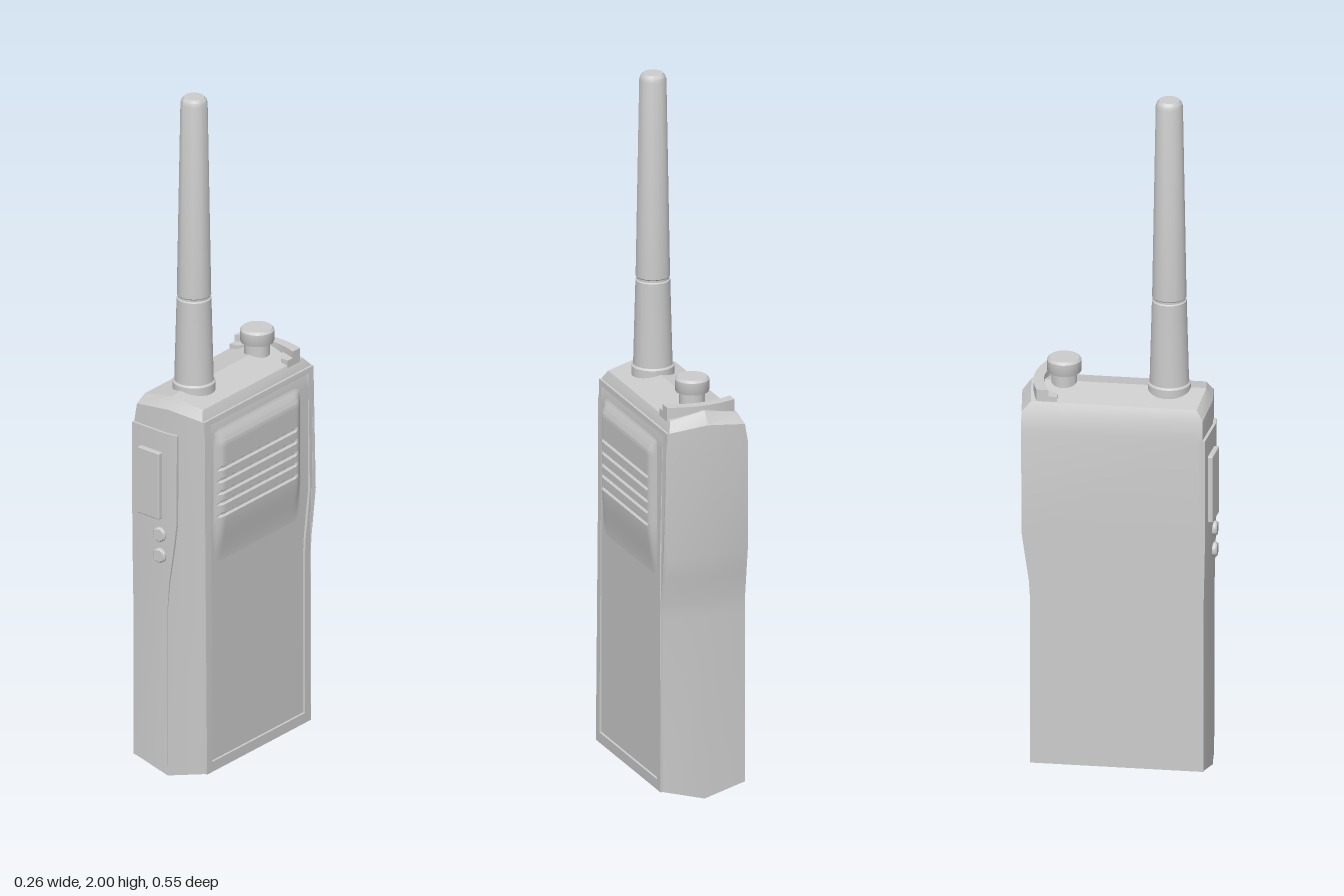
import * as THREE from 'three';
import { toCreasedNormals } from 'three/addons/utils/BufferGeometryUtils.js';
import { RoundedBoxGeometry } from 'three/addons/geometries/RoundedBoxGeometry.js';

const CX = -0.005; // ridge line and axis of the body
const FRONT = 0.257;
const BOW = 0.013; // how far the front and back ridges stand out
const mat = new THREE.MeshStandardMaterial({ color: 0xcccccc });

// Sides lean inwards near the top
const lean = (y) => Math.max(0, y - 1.03) * 0.17;
const frontZ = (x) => FRONT - BOW * Math.abs(x - CX) / 0.125;
const step = THREE.MathUtils.smoothstep;

function add(group, name, geometry, x = 0, y = 0, z = 0) {
  const mesh = new THREE.Mesh(geometry, mat);
  mesh.name = name;
  mesh.position.set(x, y, z);
  group.add(mesh);
  return mesh;
}

// Skin over rings listed bottom to top, each counterclockwise from above;
// caps are fans from corner `hub`
function loft(rings, hub) {
  const pos = [];
  const n = rings[0].length;
  const tri = (a, b, c) => pos.push(...a, ...b, ...c);
  for (let r = 0; r < rings.length - 1; r++) {
    for (let i = 0; i < n; i++) {
      const j = (i + 1) % n;
      const [a, b, c, d] = [rings[r][i], rings[r][j], rings[r + 1][i], rings[r + 1][j]];
      tri(a, b, d);
      tri(a, d, c);
    }
  }
  const bottom = rings[0], top = rings[rings.length - 1];
  for (let k = 1; k < n - 1; k++) {
    const i = (hub + k) % n, j = (hub + k + 1) % n;
    tri(top[hub], top[i], top[j]);
    tri(bottom[hub], bottom[j], bottom[i]);
  }
  const g = new THREE.BufferGeometry();
  g.setAttribute('position', new THREE.Float32BufferAttribute(pos, 3));
  return toCreasedNormals(g, 0.4);
}

function lathe(points, sides) {
  const g = new THREE.LatheGeometry(points.map(([r, y]) => new THREE.Vector2(r, y)), sides);
  return toCreasedNormals(g, 0.5);
}

// Back ridge depth by height: narrow grip, wider head
const BACK = [[0.03, -0.25], [0.53, -0.25], [0.58, -0.253], [0.65, -0.263], [0.72, -0.273], [1.085, -0.275]];

function bodyGeometry() {
  // y at ridge, y at side edges, extra inset, front, back
  const levels = [[0, 0.03, 0, FRONT, -0.25]];
  for (const [y, b] of BACK.slice(1, -1)) levels.push([y, y, 0, FRONT, b]);
  levels.push([1.03, 1.03, 0, FRONT, -0.275], [1.1, 1.085, 0, FRONT, -0.275], [1.135, 1.112, 0.008, 0.238, -0.25]);
  return loft(levels.map(([yc, ye, inset, f, b]) => {
    const l = -0.13 + lean(ye) + inset;
    const r = 0.114 - lean(ye) - inset;
    return [
      [l, ye, f - BOW], [CX, yc, f], [r, ye, f - BOW],
      [r, ye, b + BOW], [CX, yc, b], [l, ye, b + BOW],
    ];
  }), 1);
}

// Raised border around the recessed side face
function frameGeometry() {
  const outline = (front, inset, low, high) => {
    const pts = BACK.map(([y, b]) => new THREE.Vector2(-(b + BOW + inset), THREE.MathUtils.clamp(y, low, high)));
    return [...pts, new THREE.Vector2(-front, high), new THREE.Vector2(-front, low)];
  };
  const shape = new THREE.Shape(outline(FRONT - BOW, 0, 0.03, 1.085));
  shape.holes.push(new THREE.Path(outline(0.218, 0.027, 0.06, 1.07)));
  const g = new THREE.ExtrudeGeometry(shape, { depth: 0.009, bevelEnabled: false });
  g.rotateY(Math.PI / 2);
  const p = g.attributes.position;
  for (let i = 0; i < p.count; i++) p.setX(i, p.getX(i) + 0.112 - lean(p.getY(i)));
  return toCreasedNormals(g, 0.4);
}

// Swelling of the side face with five louvre slots
function grilleGeometry() {
  const g = new THREE.PlaneGeometry(0.42, 0.46, 42, 102);
  g.rotateY(Math.PI / 2);
  g.translate(0, 0.83, 0.005);
  const p = g.attributes.position;
  for (let i = 0; i < p.count; i++) {
    const y = p.getY(i), z = p.getZ(i);
    const rise = step(y, 0.63, 0.8) * (1 - step(y, 1.0, 1.05));
    const across = step(z, -0.2, -0.165) * (1 - step(z, 0.175, 0.21));
    const inSlots = y > 0.785 && y < 0.965 && z > -0.16 && z < 0.19;
    const slot = inSlots && ((y - 0.785) / 0.036) % 1 < 0.25 ? 0.006 : 0;
    p.setX(i, 0.1135 - lean(y) + 0.0165 * rise * across - slot);
  }
  return toCreasedNormals(g, 0.4);
}

// Thin control plate wrapped over the front ridge
function controlPlateGeometry() {
  const rows = [ // y, right edge, thickness
    [0.03, CX + 0.001, 0.003], [0.5, CX + 0.001, 0.003], [0.58, 0.003, 0.005],
    [0.68, 0.018, 0.007], [0.76, 0.028, 0.008], [1.03, 0.03, 0.008],
  ];
  return loft(rows.map(([y, xr, t]) => [
    [-0.131, y, 0.235], [-0.131, y, frontZ(-0.131) + t], [CX, y, FRONT + t],
    [xr, y, frontZ(xr) + t], [xr, y, 0.235],
  ]), 2);
}

// Prism with a plan outline given as a shape in x and -z
function planPrism(shape, y0, y1) {
  const g = new THREE.ExtrudeGeometry(shape, { depth: y1 - y0, bevelEnabled: false, curveSegments: 10 });
  g.rotateX(-Math.PI / 2);
  g.translate(CX, y0, 0);
  return toCreasedNormals(g, 0.5);
}

export function createModel() {
  const model = new THREE.Group();
  model.name = 'handheldRadio';

  add(model, 'body', bodyGeometry());
  add(model, 'sideFrame', frameGeometry());
  add(model, 'speakerGrille', grilleGeometry());

  // Front controls
  add(model, 'controlPlate', controlPlateGeometry());
  const talk = add(model, 'talkButton', new RoundedBoxGeometry(0.08, 0.2, 0.026, 2, 0.004), -0.06, 0.87, 0.26);
  talk.rotation.y = -0.1;
  for (const y of [0.66, 0.723]) {
    const button = add(model, 'roundButton', lathe([[0, 0.012], [0.017, 0.012], [0.021, 0.008], [0.021, -0.01]].reverse(), 20), -0.026, y, 0.261);
    button.rotation.x = Math.PI / 2;
  }

  // Antenna: collar, lower sleeve, groove and tapering whip
  add(model, 'antenna', lathe([
    [0.06, 1.1], [0.06, 1.147], [0.055, 1.152], [0.0485, 1.397], [0.045, 1.4],
    [0.045, 1.406], [0.048, 1.409], [0.038, 1.98], [0.035, 1.992], [0.028, 2], [0, 2],
  ], 24), CX, 0, 0.135);

  // Rotary knob
  add(model, 'knob', lathe([
    [0.036, 1.11], [0.036, 1.163], [0.046, 1.165], [0.048, 1.17], [0.048, 1.2], [0.042, 1.207], [0, 1.207],
  ], 20), CX, 0, -0.158);

  // Curved guard behind the knob, with a small wedge at each end
  const guard = new THREE.Shape();
  guard.moveTo(-0.1, 0.188);
  guard.quadraticCurveTo(0, 0.238, 0.1, 0.188);
  guard.lineTo(0.1, 0.222);
  guard.quadraticCurveTo(0, 0.262, -0.1, 0.222);
  guard.closePath();
  add(model, 'knobGuard', planPrism(guard, 1.1, 1.147));
  for (const s of [-1, 1]) {
    const wedge = new THREE.Shape([[0.1, 0.165], [0.1, 0.195], [0.05, 0.208], [0.075, 0.167]]
      .map(([x, y]) => new THREE.Vector2(s * x, y)));
    add(model, 'guardWedge', planPrism(wedge, 1.1, 1.128));
  }
  return model;
}
